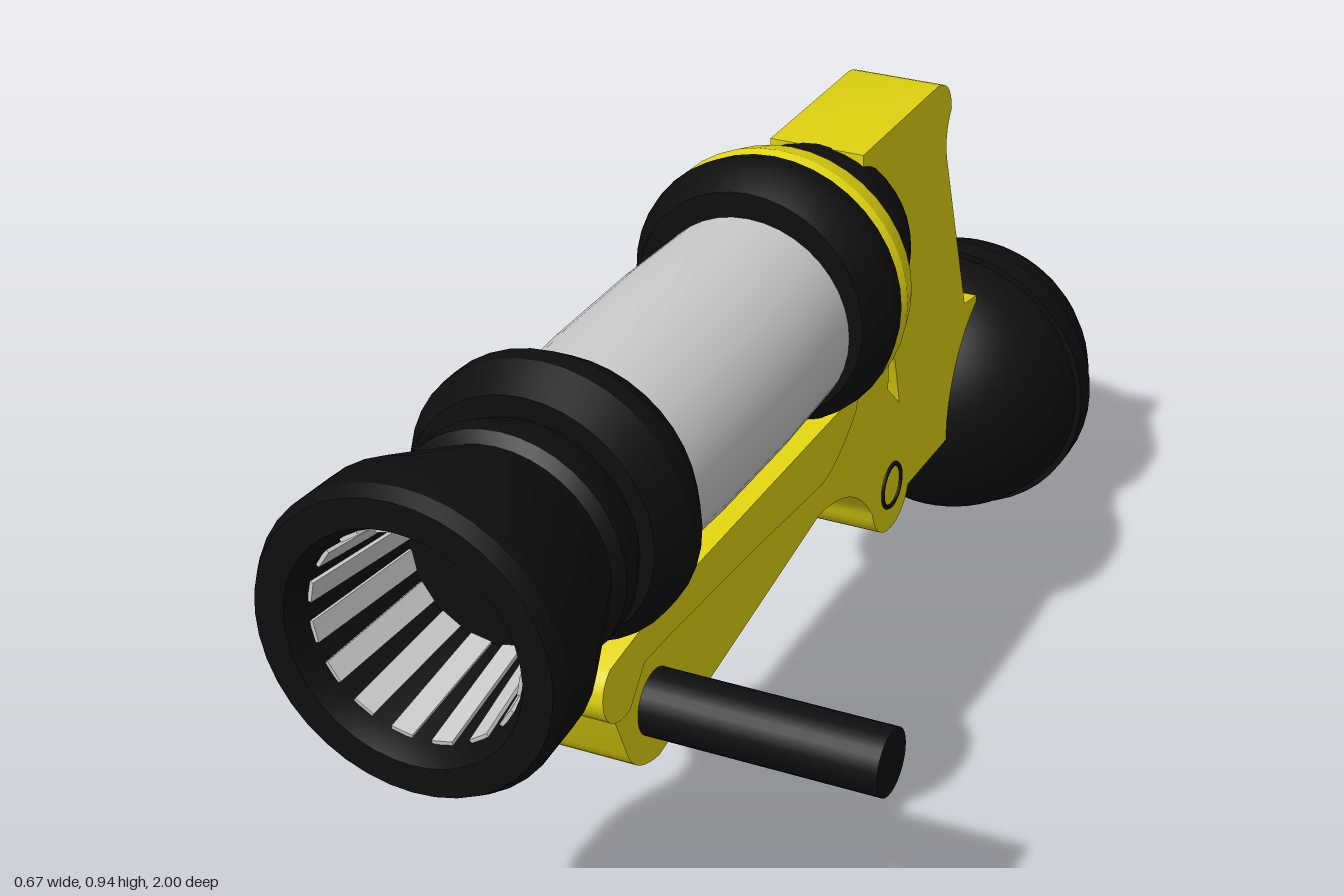
import * as THREE from 'three';
import { toCreasedNormals } from 'three/addons/utils/BufferGeometryUtils.js';

const AXIS_X = -0.097;
const mat = (color) => new THREE.MeshStandardMaterial({ color });

export function createModel() {
  const model = new THREE.Group();
  const black = mat(0x0e0e0e), yellow = mat(0xe0d310), grey = mat(0xcccccc);

  function add(name, geometry, material, x = 0, y = 0, z = 0, parent = model) {
    const mesh = new THREE.Mesh(geometry, material);
    mesh.name = name;
    mesh.position.set(x, y, z);
    parent.add(mesh);
    return mesh;
  }

  // Turned part about the z direction; profile is [radius, z] from back to front
  function turned(name, profile, material, y) {
    const g = new THREE.LatheGeometry(profile.map(([r, z]) => new THREE.Vector2(r, z)), 40);
    g.rotateX(Math.PI / 2);
    return add(name, toCreasedNormals(g, 0.45), material, AXIS_X, y);
  }

  // Side profile drawn in (z, y), extruded across x and centred on the axis
  function slab(name, shape, width, material, xMid = AXIS_X) {
    const g = new THREE.ExtrudeGeometry(shape, { depth: width, bevelEnabled: false, curveSegments: 8 });
    g.rotateY(-Math.PI / 2);
    return add(name, toCreasedNormals(g, 0.6), material, xMid + width / 2);
  }

  // Flared muzzle with a tapered bore
  turned('muzzle', [
    [0, 0.68], [0.155, 0.68], [0.17, 0.715], [0.17, 0.745], [0.155, 0.757], [0.212, 0.9],
    [0.216, 0.98], [0.206, 1], [0.165, 1], [0.15, 0.97], [0.122, 0.78], [0, 0.78],
  ], black, 0.717);

  // Pale ribs lining the bore
  const ribs = new THREE.Group();
  ribs.name = 'boreRibs';
  ribs.position.set(AXIS_X, 0.717, 0.875);
  model.add(ribs);
  const ribGeometry = new THREE.BoxGeometry(0.03, 0.012, 0.19);
  ribGeometry.rotateX(-0.146);
  for (let i = 0; i < 16; i++) {
    const a = ((i + 0.5) / 16) * Math.PI * 2;
    const rib = add('boreRib', ribGeometry, grey, -Math.sin(a) * 0.136, Math.cos(a) * 0.136, 0, ribs);
    rib.rotation.z = a;
  }

  // Barrel, collars and rounded rear cap
  turned('frontCollar', [
    [0, 0.56], [0.178, 0.56], [0.205, 0.605], [0.205, 0.635], [0.178, 0.685], [0, 0.685],
  ], black, 0.727);
  turned('barrel', [[0.157, 0.03], [0.163, 0.2], [0.163, 0.4], [0.157, 0.57]], grey, 0.717);
  turned('rearCollar', [
    [0, -0.05], [0.2, -0.05], [0.207, -0.02], [0.205, -0.005], [0.178, 0.04], [0, 0.04],
  ], black, 0.735);
  turned('yellowRing', [
    [0, -0.112], [0.172, -0.112], [0.192, -0.105], [0.205, -0.06], [0.2, -0.045], [0, -0.045],
  ], yellow, 0.735);
  const cap = [];
  for (let i = 0; i <= 12; i++) {
    const a = (i / 12) * Math.PI / 2;
    cap.push([0.156 * Math.sin(a), -0.155 - 0.158 * Math.cos(a)]);
  }
  turned('rearCap', [...cap, [0.156, -0.1]], black, 0.744);

  // Main frame with its small see-through window
  const frame = new THREE.Shape();
  frame.moveTo(-0.1, 0.88);
  frame.lineTo(-0.18, 0.893);
  frame.lineTo(-0.475, 0.893);
  frame.quadraticCurveTo(-0.53, 0.885, -0.532, 0.835);
  frame.quadraticCurveTo(-0.505, 0.8, -0.517, 0.755);
  frame.lineTo(-0.608, 0.46);
  frame.lineTo(-0.66, 0.452);
  frame.lineTo(-0.66, 0.24);
  frame.lineTo(-0.38, 0.24);
  frame.quadraticCurveTo(-0.36, 0.196, -0.31, 0.196);
  frame.quadraticCurveTo(-0.25, 0.2, -0.235, 0.26);
  frame.quadraticCurveTo(-0.16, 0.365, -0.03, 0.367);
  frame.lineTo(0.5, 0.27);
  frame.quadraticCurveTo(0.57, 0.28, 0.59, 0.325);
  frame.lineTo(0.64, 0.44);
  frame.lineTo(0.6, 0.5);
  frame.lineTo(-0.11, 0.53);
  // Step back behind the ring so the frame top starts at the rear cap
  frame.lineTo(-0.11, 0.75);
  frame.lineTo(-0.19, 0.75);
  frame.lineTo(-0.19, 0.893);
  frame.curves.splice(0, 2);
  frame.curves.unshift(new THREE.LineCurve(new THREE.Vector2(-0.19, 0.893), new THREE.Vector2(-0.475, 0.893)));
  const windowHole = new THREE.Path();
  windowHole.moveTo(-0.295, 0.52);
  windowHole.lineTo(-0.318, 0.495);
  windowHole.lineTo(-0.338, 0.41);
  windowHole.lineTo(-0.292, 0.455);
  frame.holes.push(windowHole);
  slab('frame', frame, 0.15, yellow, -0.095);

  // Wider rail beneath the barrel
  const rail = new THREE.Shape();
  rail.moveTo(0.685, 0.53);
  rail.quadraticCurveTo(0.715, 0.51, 0.706, 0.475);
  rail.quadraticCurveTo(0.69, 0.43, 0.635, 0.437);
  rail.lineTo(0.59, 0.485);
  rail.lineTo(0.515, 0.485);
  rail.lineTo(0.247, 0.473);
  rail.lineTo(0.03, 0.458);
  rail.quadraticCurveTo(-0.03, 0.458, -0.1, 0.52);
  rail.lineTo(-0.122, 0.577);
  rail.lineTo(-0.07, 0.55);
  rail.lineTo(0.55, 0.547);
  rail.closePath();
  slab('underRail', rail, 0.205, yellow, -0.092);

  // Side handle and the thin pin rings on each flank
  const handle = new THREE.CylinderGeometry(0.049, 0.049, 0.37, 28);
  handle.rotateZ(Math.PI / 2);
  add('sideHandle', handle, black, 0.147, 0.366, 0.51);
  const ring = new THREE.TorusGeometry(0.036, 0.004, 6, 28);
  ring.rotateY(Math.PI / 2);
  add('pivotRing', ring, black, -0.02, 0.274, -0.31);
  add('handlePinRing', ring, black, -0.17, 0.366, 0.51);

  // Rear ball with a raised band and a small rectangular frame at the back
  add('rearBall', new THREE.SphereGeometry(0.231, 40, 28), black, -0.095, 0.245, -0.757);
  const band = new THREE.CylinderGeometry(0.24, 0.24, 0.042, 48);
  band.rotateX(Math.PI / 2);
  add('ballBand', toCreasedNormals(band, 0.6), black, -0.095, 0.245, -0.757);
  const rect = (P, w, h) => {
    const p = new P();
    p.moveTo(-w, -h);
    p.lineTo(w, -h);
    p.lineTo(w, h);
    p.lineTo(-w, h);
    p.closePath();
    return p;
  };
  const plate = rect(THREE.Shape, 0.03, 0.052);
  plate.holes.push(rect(THREE.Path, 0.021, 0.042));
  add('ballBackFrame', new THREE.ExtrudeGeometry(plate, { depth: 0.05, bevelEnabled: false }),
    black, -0.095, 0.247, -1);

  return model;
}
